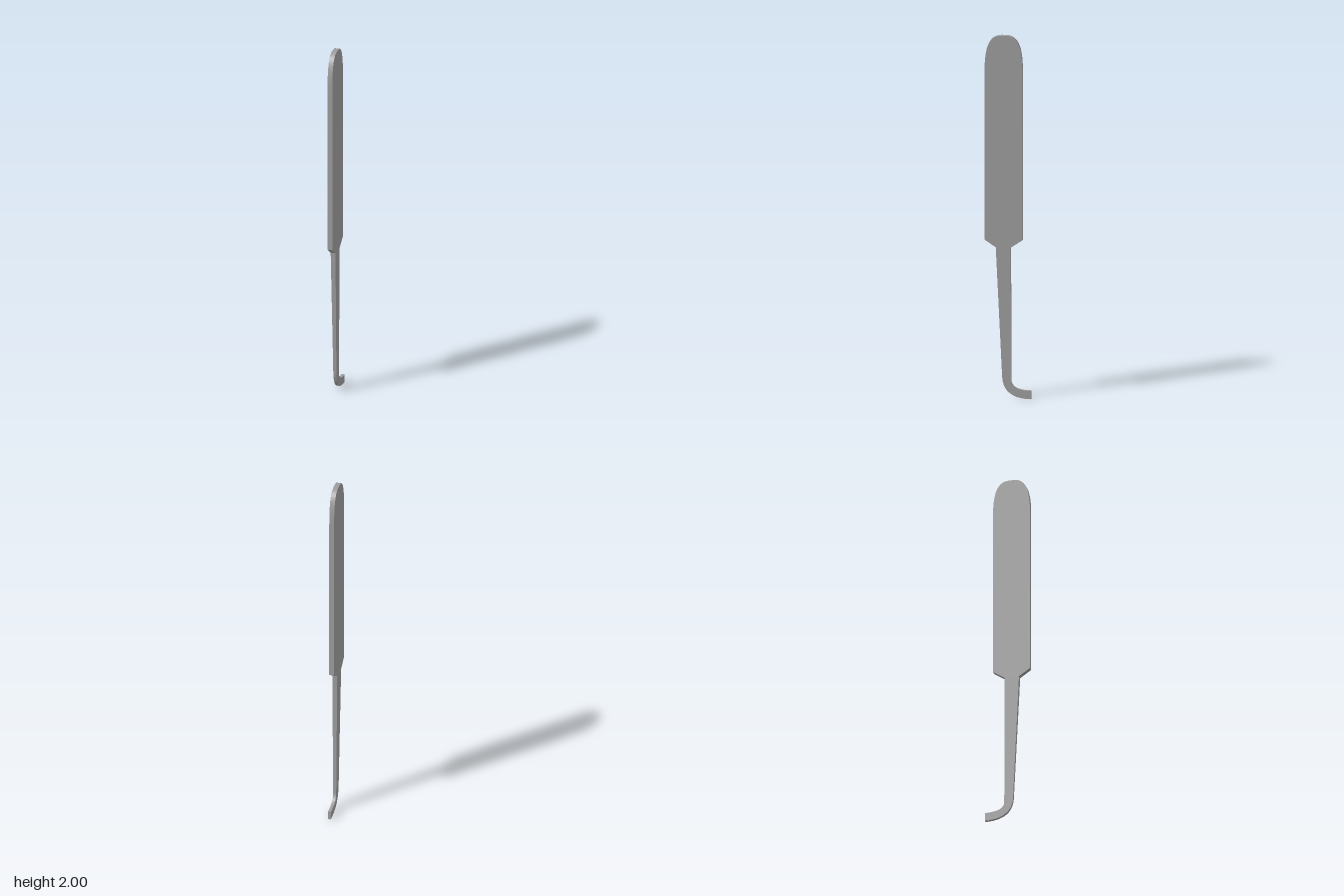
import * as THREE from 'three';
import { toCreasedNormals } from 'three/addons/utils/BufferGeometryUtils.js';

const HALF_HANDLE = 0.0135; // half thickness of the handle
const HALF_TIP = 0.008;     // half thickness at the hook
const NECK_Y = 0.833;       // where the shaft meets the handle
const SHOULDER_Y = 0.875;   // top of the chamfered shoulders

// Extrudes a (z, y) outline along x; halfAt(y) gives the half thickness at each height.
function plate(name, shape, halfAt) {
  const geo = new THREE.ExtrudeGeometry(shape, { depth: 2, bevelEnabled: false, curveSegments: 16 });
  geo.translate(0, 0, -1).rotateY(-Math.PI / 2);
  const p = geo.attributes.position;
  for (let i = 0; i < p.count; i++) p.setX(i, p.getX(i) * halfAt(p.getY(i)));
  const mesh = new THREE.Mesh(
    toCreasedNormals(geo, 0.45),
    new THREE.MeshStandardMaterial({ color: 0x9d9d9d })
  );
  mesh.name = name;
  return mesh;
}

export function createModel() {
  const group = new THREE.Group();
  group.name = 'hookPick';

  // Flat handle: rounded top, chamfered shoulders
  const handle = new THREE.Shape();
  handle.moveTo(-0.015, NECK_Y);
  handle.lineTo(0.065, NECK_Y);
  handle.lineTo(0.126, SHOULDER_Y);
  handle.lineTo(0.126, 1.8);
  handle.bezierCurveTo(0.126, 1.94, 0.1, 2, 0.035, 2);
  handle.lineTo(0.012, 2);
  handle.bezierCurveTo(-0.053, 2, -0.079, 1.94, -0.079, 1.8);
  handle.lineTo(-0.079, SHOULDER_Y);
  handle.closePath();
  group.add(plate('handle', handle, () => HALF_HANDLE));

  // Tapering shaft that curls into a short hook at the bottom
  const shaft = new THREE.Shape();
  shaft.moveTo(0.065, NECK_Y);
  shaft.lineTo(-0.015, NECK_Y);
  shaft.lineTo(-0.018, 0.1);
  shaft.bezierCurveTo(-0.02, 0.06, -0.06, 0.046, -0.126, 0.046);
  shaft.lineTo(-0.126, 0);
  shaft.bezierCurveTo(-0.03, 0, 0.026, 0.035, 0.031, 0.12);
  shaft.closePath();
  group.add(plate('shaftAndHook', shaft,
    (y) => THREE.MathUtils.mapLinear(y, 0, NECK_Y, HALF_TIP, HALF_HANDLE)));

  return group;
}
